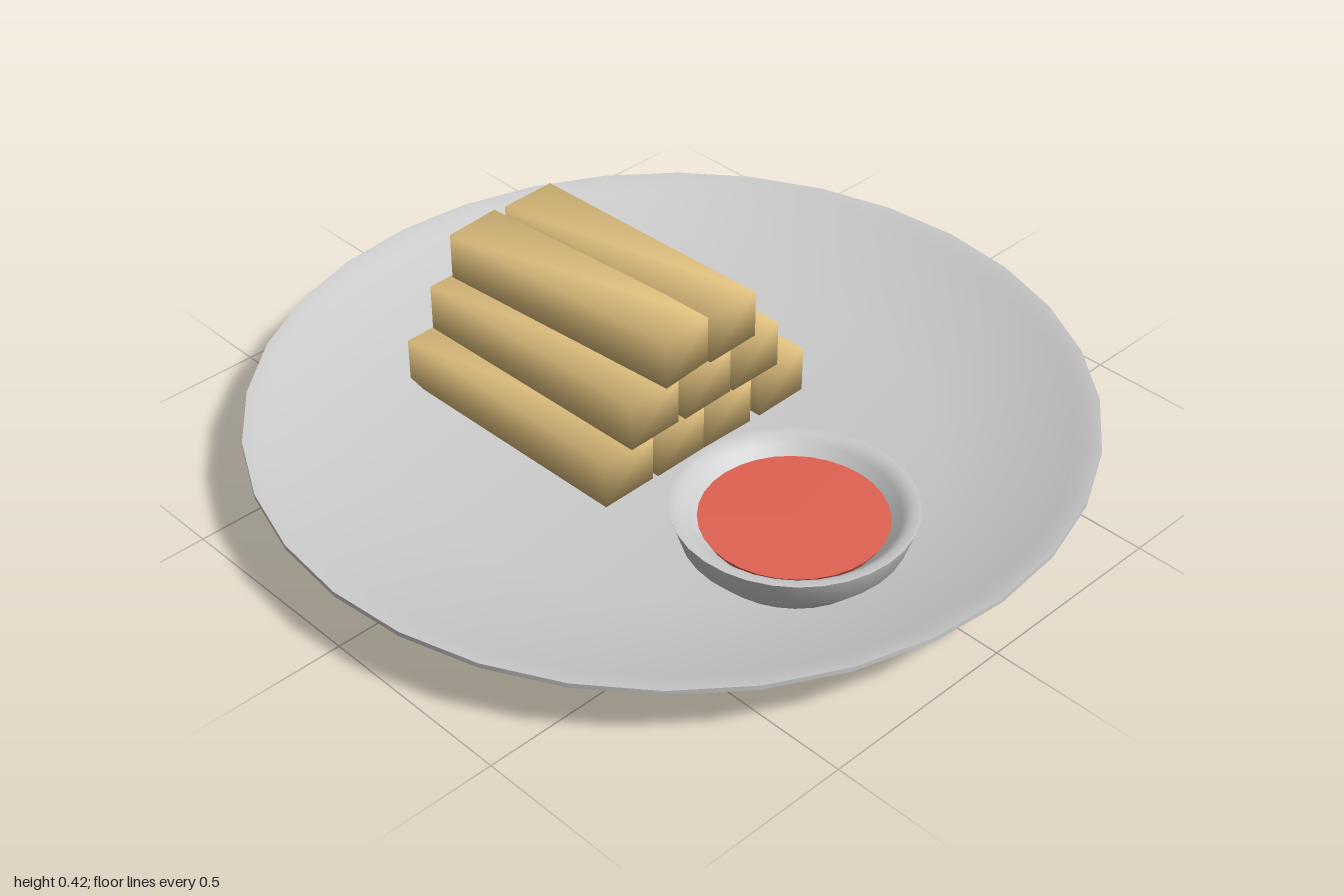
import * as THREE from 'three';
import { mergeVertices, toCreasedNormals } from 'three/addons/utils/BufferGeometryUtils.js';

const grey = new THREE.MeshStandardMaterial({ color: 0xcccccc, side: THREE.DoubleSide });
const pastry = new THREE.MeshStandardMaterial({ color: 0xe6c582 });
const sauceRed = new THREE.MeshStandardMaterial({ color: 0xe06252 });

const FLOOR = 0.06; // height of the plate's inner floor

// Turned part from [radius, height] points, listed from the bottom centre outwards and back in
function turned(name, points, segments, crease) {
  const lathe = new THREE.LatheGeometry(points.map(([r, y]) => new THREE.Vector2(r, y)), segments);
  const mesh = new THREE.Mesh(toCreasedNormals(lathe, crease), grey);
  mesh.name = name;
  return mesh;
}

// Box whose corners share their normals, for soft shading
function softBox(w, h, d) {
  const box = new THREE.BoxGeometry(w, h, d);
  box.deleteAttribute('normal');
  box.deleteAttribute('uv');
  const geometry = mergeVertices(box);
  geometry.computeVertexNormals();
  return geometry;
}

export function createModel() {
  const model = new THREE.Group();
  model.name = 'plateOfRolls';

  // Wide plate with a flat foot and a thin lip
  model.add(turned('plate', [
    [0, 0], [0.61, 0], [0.64, 0.03], [1, 0.143], [1, 0.155], [0.97, 0.15],
    [0.94, 0.135], [0.62, FLOOR], [0, FLOOR],
  ], 32, 0.6));

  // Stacked rolls: rows of [z, yaw]
  const length = 0.685, height = 0.12, width = 0.15;
  const rows = [
    [[-0.25, 0.022], [-0.083, -0.02], [0.083, 0.02], [0.245, 0.015]],
    [[-0.165, 0.005], [0, 0.03], [0.165, 0.02]],
    [[-0.08, 0.03], [0.08, 0.08]],
  ];
  const rollGeometry = softBox(length, height, width);
  const rolls = new THREE.Group();
  rolls.name = 'rolls';
  rows.forEach((row, level) => row.forEach(([z, yaw]) => {
    const roll = new THREE.Mesh(rollGeometry, pastry);
    roll.name = 'roll';
    roll.position.set(-0.235, FLOOR + height * (level + 0.5), z);
    roll.rotation.y = yaw;
    rolls.add(roll);
  }));
  model.add(rolls);

  // Dipping bowl with sauce
  const dip = new THREE.Group();
  dip.name = 'dippingBowl';
  dip.position.set(0.535, FLOOR, 0.15);
  dip.add(turned('bowl', [
    [0, 0], [0.13, 0], [0.2, 0.04], [0.252, 0.095], [0.275, 0.165],
    [0.255, 0.165], [0.235, 0.15], [0.2, 0.11], [0.12, 0.05], [0, 0.04],
  ], 32, 0.9));
  const sauce = new THREE.Mesh(new THREE.CylinderGeometry(0.212, 0.2, 0.02, 32), sauceRed);
  sauce.name = 'sauce';
  sauce.position.y = 0.122;
  dip.add(sauce);
  model.add(dip);

  return model;
}
